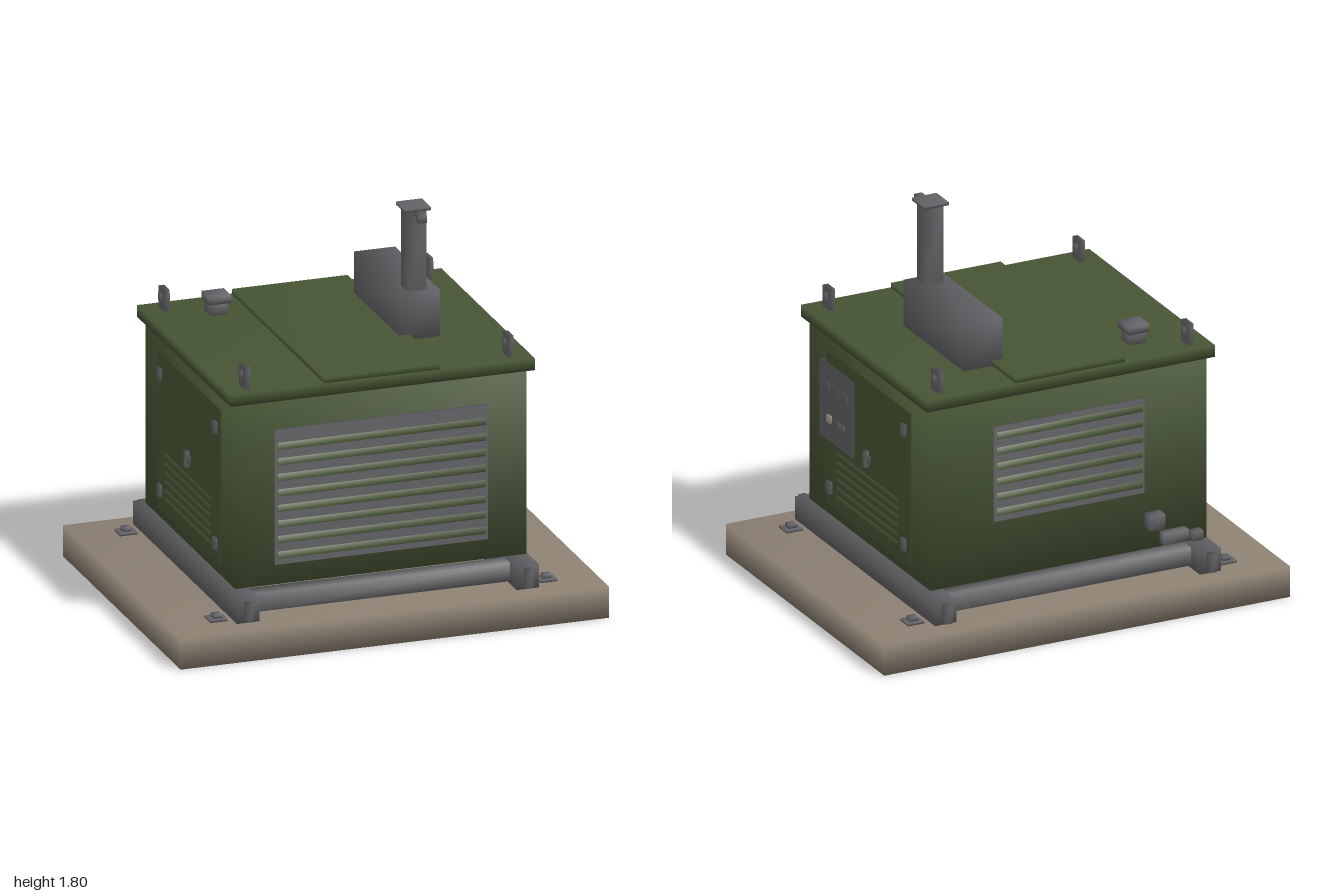
import * as THREE from 'three';
import { mergeVertices } from 'three/addons/utils/BufferGeometryUtils.js';

const mat = (name, color) => {
  const m = new THREE.MeshStandardMaterial({ color });
  m.name = name;
  return m;
};

export function createModel() {
  const green = mat('olive paint', 0x465534);
  const grey = mat('steel grey', 0x636367);
  const concrete = mat('concrete', 0x8c8072);
  const cream = mat('cream button', 0xa39a88);

  const model = new THREE.Group();
  model.name = 'generatorSet';

  const group = (name) => {
    const g = new THREE.Group();
    g.name = name;
    model.add(g);
    return g;
  };

  // Box given by its ranges on x, y and z, with soft shared corner normals
  const box = (parent, name, material, [x0, x1], [y0, y1], [z0, z1]) => {
    let geo = new THREE.BoxGeometry(x1 - x0, y1 - y0, z1 - z0);
    geo.deleteAttribute('normal');
    geo.deleteAttribute('uv');
    geo = mergeVertices(geo);
    geo.computeVertexNormals();
    const mesh = new THREE.Mesh(geo, material);
    mesh.name = name;
    mesh.position.set((x0 + x1) / 2, (y0 + y1) / 2, (z0 + z1) / 2);
    parent.add(mesh);
    return mesh;
  };
  const around = (c, size) => [c - size / 2, c + size / 2];
  // Range from a to b measured outward on side s (+1 or -1)
  const out = (s, a, b) => (s > 0 ? [a, b] : [-b, -a]);

  // Concrete pad
  box(model, 'concretePad', concrete, [-1, 1], [0, 0.145], [-0.775, 0.775]);

  // Skid: two rails with end stubs, joined by cross beams
  const skid = group('skid');
  for (const s of [1, -1]) {
    box(skid, 'skidRail', grey, out(s, 0.6, 0.705), [0.147, 0.255], [-0.685, 0.685]);
    box(skid, 'crossBeam', grey, [-0.6, 0.6], [0.16, 0.245], out(s, 0.52, 0.6));
    for (const t of [1, -1]) {
      box(skid, 'railEnd', grey, out(s, 0.635, 0.67), [0.16, 0.245], out(t, 0.685, 0.72));
      box(skid, 'rubberMount', grey, out(s, 0.55, 0.645), [0.25, 0.278], out(t, 0.41, 0.5));
      // Hold-down plates bolted to the pad
      box(skid, 'anchorPlate', grey, out(s, 0.73, 0.81), [0.145, 0.156], out(t, 0.555, 0.63));
      box(skid, 'anchorBolt', grey, out(s, 0.75, 0.79), [0.155, 0.174], out(t, 0.575, 0.612));
    }
  }

  // Housing and roof
  const housing = group('housing');
  box(housing, 'housingBody', green, [-0.68, 0.68], [0.275, 1.15], [-0.59, 0.59]);
  box(housing, 'roof', green, [-0.71, 0.71], [1.14, 1.195], [-0.616, 0.616]);
  box(housing, 'roofPanel', green, [-0.27, 0.27], [1.19, 1.22], [-0.608, 0.608]);

  // Lifting lugs on the roof corners
  const lugs = group('liftingLugs');
  for (const s of [1, -1]) {
    for (const t of [1, -1]) {
      box(lugs, 'lugPlate', grey, out(s, 0.602, 0.628), [1.19, 1.295], out(t, 0.495, 0.565));
      box(lugs, 'lugPin', grey, out(s, 0.594, 0.636), [1.236, 1.272], out(t, 0.512, 0.548));
    }
  }

  // Louvred grilles at the front and back
  const grille = (name, side, halfWidth, bottom, top, firstSlat, pitch, count) => {
    const g = group(name);
    box(g, 'grillePlate', grey, [-halfWidth, halfWidth], [bottom, top], out(side, 0.585, 0.602));
    for (let i = 0; i < count; i++) {
      const slat = box(g, 'grilleSlat', green, [-halfWidth + 0.012, halfWidth - 0.012],
        around(firstSlat + i * pitch, 0.032), out(side, 0.596, 0.608));
      slat.rotation.x = -side * 0.15;
    }
  };
  grille('frontGrille', 1, 0.497, 0.37, 1.0, 0.415, 0.0727, 8);
  grille('backGrille', -1, 0.37, 0.55, 1.0, 0.595, 0.0725, 6);

  // Side doors with louvres, hinges and a latch
  for (const s of [1, -1]) {
    const door = group(s > 0 ? 'leftDoor' : 'rightDoor');
    box(door, 'doorPanel', green, out(s, 0.675, 0.69), [0.325, 1.05], [-0.405, 0.41]);
    for (let i = 0; i < 6; i++) {
      const louvre = box(door, 'doorLouvre', green, out(s, 0.685, 0.697),
        around(0.392 + i * 0.041, 0.02), [-0.295, 0.297]);
      louvre.rotation.z = s * 0.2;
    }
    for (const z of [-0.36, 0.365]) {
      for (const y of [0.415, 0.96]) {
        if (s > 0 && z > 0 && y > 0.9) continue; // taken by the control panel
        box(door, 'doorHinge', grey, out(s, 0.685, 0.705), around(y, 0.056), around(z, 0.036));
      }
    }
    box(door, 'latchPlate', grey, out(s, 0.685, 0.702), around(0.688, 0.036), around(0.003, 0.052));
    box(door, 'latchHandle', grey, out(s, 0.69, 0.71), around(0.687, 0.074), around(0.003, 0.022));
  }

  // Control panel with gauges and buttons
  const controls = group('controlPanel');
  box(controls, 'controlPlate', grey, [0.68, 0.7], [0.64, 1.0], [0.132, 0.452]);
  for (const z of [0.384, 0.294, 0.204]) {
    box(controls, 'gauge', grey, [0.695, 0.708], around(0.894, 0.054), around(z, 0.054));
  }
  box(controls, 'startButton', cream, [0.695, 0.712], around(0.75, 0.034), around(0.349, 0.036));
  for (const z of [0.256, 0.219]) {
    box(controls, 'switchKnob', grey, [0.695, 0.71], around(0.75, 0.024), around(z, 0.024));
  }

  // Exhaust: silencer, stack and hinged rain flap
  const exhaust = group('exhaust');
  box(exhaust, 'silencer', grey, [0.22, 0.412], [1.19, 1.412], [-0.385, 0.205]);
  box(exhaust, 'exhaustStack', grey, [0.27, 0.357], [1.4, 1.788], [0.095, 0.182]);
  box(exhaust, 'rainFlap', grey, [0.253, 0.374], [1.786, 1.8], [0.075, 0.196]);
  box(exhaust, 'flapArm', grey, [0.303, 0.326], [1.762, 1.786], [0.178, 0.225]);
  box(exhaust, 'flapWeight', grey, [0.295, 0.333], [1.752, 1.788], [0.22, 0.256]);

  // Filler cap on the roof
  const filler = group('filler');
  box(filler, 'fillerNeck', grey, [-0.453, -0.372], [1.19, 1.255], [-0.452, -0.37]);
  box(filler, 'fillerCap', grey, [-0.464, -0.36], [1.25, 1.284], [-0.464, -0.36]);

  // Pipe outlets low on the back
  const outlets = group('outlets');
  box(outlets, 'coolantOutlet', grey, [-0.45, -0.376], [0.38, 0.45], [-0.645, -0.585]);
  box(outlets, 'fuelOutlet', grey, [-0.572, -0.45], [0.295, 0.35], [-0.634, -0.585]);
  box(outlets, 'drainPlug', grey, [-0.645, -0.595], [0.285, 0.33], [-0.63, -0.585]);

  return model;
}
